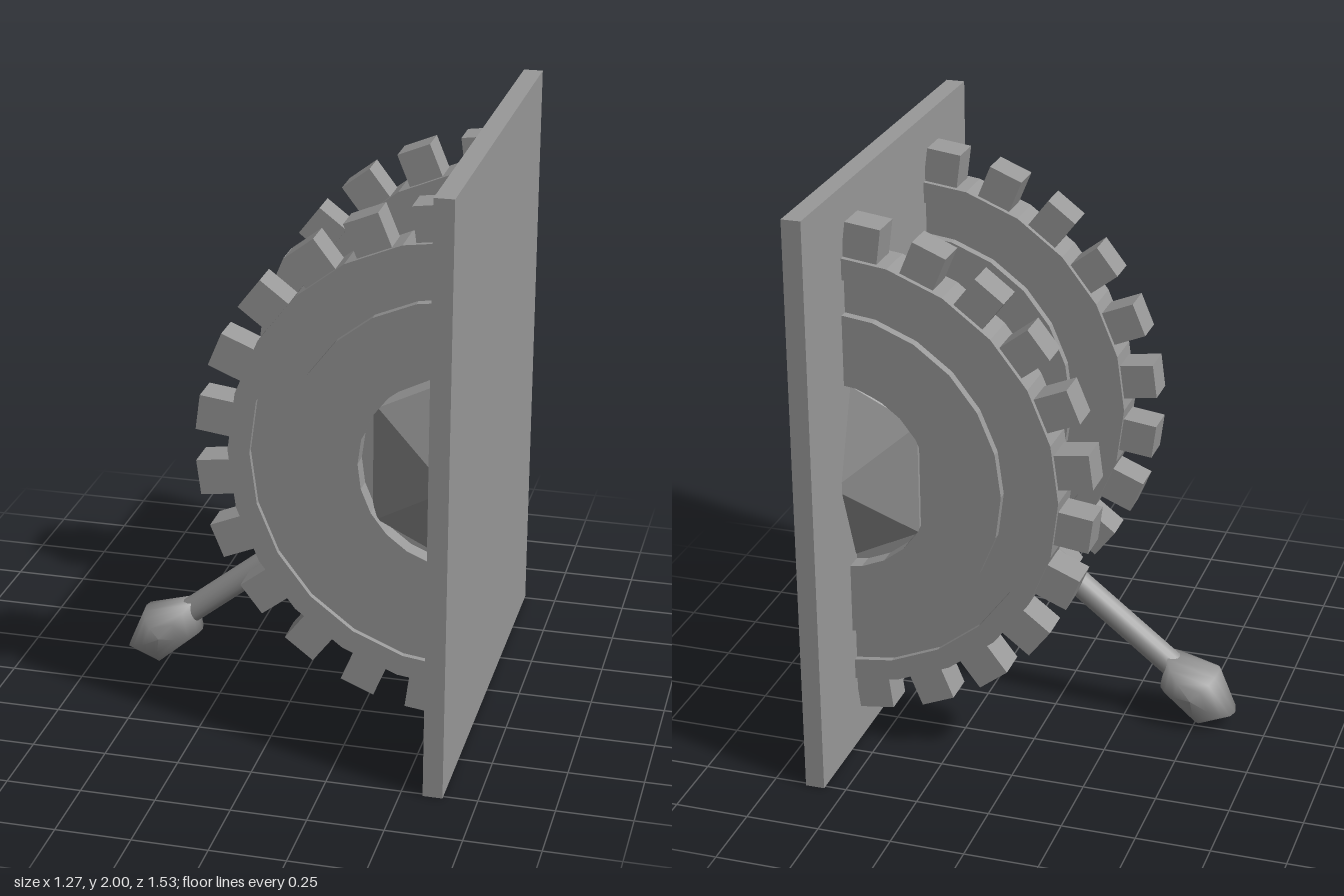
import * as THREE from 'three';

const grey = new THREE.MeshStandardMaterial({ color: 0x999999 });
const CX = 0.618, CY = 1.01; // shared axle position

function add(group, name, geometry) {
  const mesh = new THREE.Mesh(geometry, grey);
  mesh.name = name;
  group.add(mesh);
  return mesh;
}

function faceted(geometry) {
  const g = geometry.toNonIndexed();
  g.computeVertexNormals();
  return g;
}

// Skin a stack of equal-sized rings and close both ends with fans
function loft(rings, flip = false) {
  const n = rings[0].length, pos = rings.flat(2), index = [];
  const tri = (a, b, c) => (flip ? index.push(a, c, b) : index.push(a, b, c));
  for (let r = 0; r < rings.length - 1; r++) {
    for (let i = 0; i < n; i++) {
      const j = (i + 1) % n, a = r * n + i, b = r * n + j;
      tri(a, b, b + n);
      tri(a, b + n, a + n);
    }
  }
  const last = (rings.length - 1) * n;
  for (let i = 1; i < n - 1; i++) {
    tri(0, i + 1, i);
    tri(last, last + i, last + i + 1);
  }
  const g = new THREE.BufferGeometry();
  g.setAttribute('position', new THREE.Float32BufferAttribute(pos, 3));
  g.setIndex(index);
  return g;
}

// Half gear: stepped disc with raised rim and raised inner ring, plus teeth
function makeGear(name, z) {
  const gear = new THREE.Group();
  gear.name = name;
  const side = [[0.765, 0.075], [0.692, 0.075], [0.692, 0.055], [0.575, 0.055],
    [0.575, 0.086], [0.332, 0.086], [0.332, 0.025], [0.001, 0.025]];
  const profile = [
    ...side.slice().reverse().map(([r, h]) => new THREE.Vector2(r, -h)),
    ...side.map(([r, h]) => new THREE.Vector2(r, h)),
  ];
  const disc = new THREE.LatheGeometry(profile, 12, Math.PI, Math.PI);
  disc.rotateX(Math.PI / 2);
  add(gear, 'gearDisc', faceted(disc));
  for (let i = 0; i < 12; i++) {
    const a = Math.PI / 2 + (i + 0.5) * Math.PI / 12;
    const tooth = add(gear, 'gearTooth', new THREE.BoxGeometry(0.13, 0.12, 0.114));
    tooth.position.set(0.811 * Math.cos(a), 0.811 * Math.sin(a), 0);
    tooth.rotation.z = a;
  }
  gear.position.set(CX, CY, z);
  return gear;
}

// Slightly skewed faceted outline running into the wall plate
function hubRing(side, d, x, low, high, wallLow, wallHigh) {
  return [[x, low], [0.6, wallLow], [0.6, wallHigh], [x, high]]
    .map(([px, py]) => [px, py, side * d + Math.max(0.028, 0.0475 - (px - 0.145) * 0.1)]);
}

function makeHub(name, side) {
  const hub = new THREE.Group();
  hub.name = name;
  const flip = side < 0;
  add(hub, 'hubFlange', faceted(loft([
    hubRing(side, 0.125, 0.145, 0.76, 1.26, 0.55, 1.47),
    hubRing(side, 0.167, 0.145, 0.76, 1.26, 0.55, 1.47),
  ], flip)));
  add(hub, 'hubCone', faceted(loft([
    hubRing(side, 0.163, 0.195, 0.77, 1.25, 0.57, 1.45),
    hubRing(side, 0.434, 0.345, 0.815, 1.2, 0.69, 1.325),
    hubRing(side, 0.55, 0.599, 0.989, 0.991, 0.989, 0.991),
  ], flip)));
  return hub;
}

export function createModel() {
  const model = new THREE.Group();
  model.name = 'wallLever';

  // Wall plate
  add(model, 'wallPlate', new THREE.BoxGeometry(0.065, 2, 1.526)).position.set(0.605, 1, 0);

  // Gears and hubs
  model.add(makeGear('frontGear', 0.4), makeGear('backGear', -0.375));
  model.add(makeHub('frontHub', 1), makeHub('backHub', -1));

  // Lever pivot: half ball set against the plate
  const pivot = add(model, 'leverPivot',
    new THREE.SphereGeometry(0.18, 6, 8, -Math.PI / 2, Math.PI));
  pivot.position.set(0.6, 1.0, 0.04);

  // Lever rod
  const start = new THREE.Vector3(0.58, 0.985, 0.045);
  const end = new THREE.Vector3(-0.45, 0.17, 0.045);
  const rod = add(model, 'leverRod', new THREE.CylinderGeometry(0.045, 0.045, start.distanceTo(end), 16));
  rod.position.copy(start).add(end).multiplyScalar(0.5);
  rod.quaternion.setFromUnitVectors(new THREE.Vector3(0, 1, 0), start.clone().sub(end).normalize());

  // Lever knob: five-sided outline swelling and closing across its width
  const outline = [[-0.6375, 0.05], [-0.52, 0.0], [-0.37, 0.13], [-0.395, 0.25], [-0.575, 0.2]];
  const rings = [];
  for (let i = 0; i <= 8; i++) {
    const t = Math.PI * i / 8, s = Math.max(Math.sin(t), 0.001) ** 0.8;
    rings.push(outline.map(([x, y]) => [-0.5 + (x + 0.5) * s, 0.125 + (y - 0.125) * s, 0.045 - 0.105 * Math.cos(t)]));
  }
  const knob = loft(rings);
  knob.computeVertexNormals();
  add(model, 'leverKnob', knob);

  return model;
}
